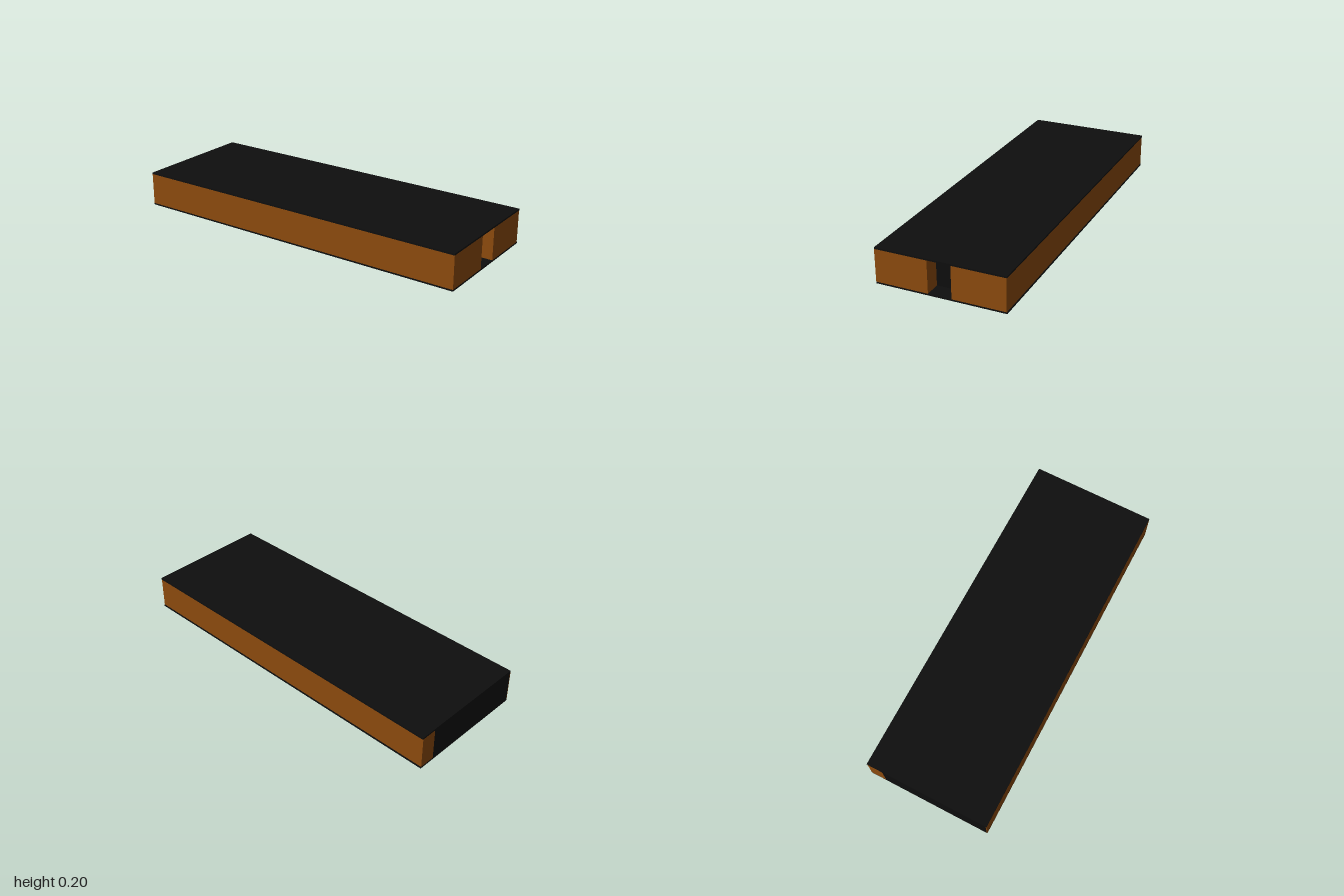
import * as THREE from 'three';

const wood = new THREE.MeshStandardMaterial({ color: 0x8b4a0d });
const black = new THREE.MeshStandardMaterial({ color: 0x0e0e0e });

// Box given by its minimum and maximum along each axis
function slab(name, [x0, x1], [y0, y1], [z0, z1], material) {
  const mesh = new THREE.Mesh(new THREE.BoxGeometry(x1 - x0, y1 - y0, z1 - z0), material);
  mesh.position.set((x0 + x1) / 2, (y0 + y1) / 2, (z0 + z1) / 2);
  mesh.name = name;
  return mesh;
}

export function createModel() {
  const group = new THREE.Group();
  group.name = 'flatCase';
  const left = 0.355, right = -0.358, wall = 0.09;
  const height = [0.009, 0.191];
  const frontZ = [1 - wall, 1];

  // Thin top and bottom sheets
  group.add(slab('bottomSheet', [-0.358, 0.358], [0, 0.009], [-1, 1], black));
  group.add(slab('topSheet', [-0.358, 0.358], [0.191, 0.2], [-1, 1], black));

  // Front wall in two halves with a slot between them
  group.add(slab('frontWallRight', [right, -0.066], height, frontZ, wood));
  group.add(slab('frontWallLeft', [0.063, left], height, frontZ, wood));

  // Side walls: thick on the left, a thin facing on the right
  group.add(slab('sideWallLeft', [left - wall, left], height, [-1, 1 - wall], wood));
  group.add(slab('sideFacingRight', [right, right + 0.004], height, [-1, 1 - wall], wood));

  // Dark core, flush at the back and set back behind the front slot
  group.add(slab('core', [right + 0.004, left - wall], height, [-1, 1 - wall], black));

  return group;
}
